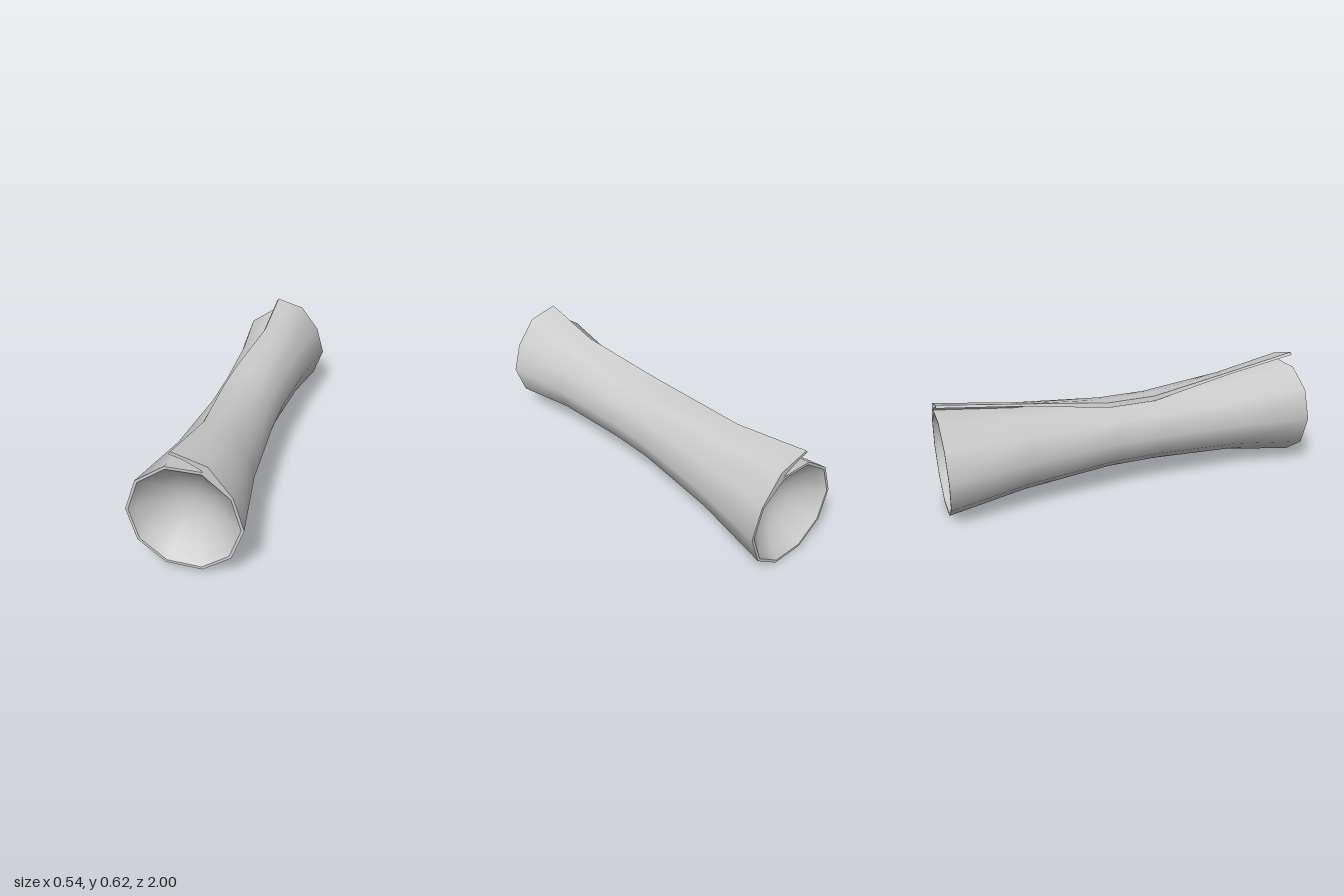
import * as THREE from 'three';
import { toCreasedNormals } from 'three/addons/utils/BufferGeometryUtils.js';

// Ten-sided tube outline, counter-clockwise about its centre; first point lies under the flap
const RING = [
  [0.095, 0.257], [-0.075, 0.258], [-0.212, 0.164], [-0.268, 0.007], [-0.222, -0.153],
  [-0.092, -0.253], [0.078, -0.258], [0.212, -0.165], [0.269, -0.008], [0.223, 0.15],
];
// Overlapping flap: lifted at the ends, pressed against the tube at the waist
const FLAP_END = [[0.117, 0.287], [0.025, 0.315], [-0.042, 0.335], [-0.052, 0.322], [0.013, 0.303], [0.088, 0.264]];
const FLAP_WAIST = [[0.12, 0.257], [0.0, 0.282], [-0.122, 0.301], [-0.132, 0.264], [0.0, 0.263], [0.09, 0.26]];

// Stations along the roll: z, scale, centre x, centre y, closeness of the flap
const STATIONS = [
  [-1, 0.995, 0.003, 0.258, 0],
  [-0.6, 0.79, 0.001, 0.27, 0],
  [-0.13, 0.684, 0, 0.284, 1],
  [0.13, 0.684, 0, 0.284, 1],
  [0.6, 0.776, -0.002, 0.285, 0],
  [1, 1, -0.005, 0.285, 0],
];

function section([z, s, cx, cy, w]) {
  const flap = FLAP_END.map(([x, y], i) => [
    THREE.MathUtils.lerp(x, FLAP_WAIST[i][0], w),
    THREE.MathUtils.lerp(y, FLAP_WAIST[i][1], w),
  ]);
  return [...RING, ...flap].map(([x, y]) => new THREE.Vector3(cx + x * s, cy + y * s, z));
}

// Skin a list of closed loops that share a point count
function loft(loops, crease) {
  const n = loops[0].length;
  const index = [];
  for (let i = 0; i < loops.length - 1; i++) {
    for (let j = 0; j < n; j++) {
      const a = i * n + j, b = i * n + (j + 1) % n;
      index.push(a, b, a + n, b, b + n, a + n);
    }
  }
  const geometry = new THREE.BufferGeometry().setFromPoints(loops.flat());
  geometry.setIndex(index);
  return toCreasedNormals(geometry, crease);
}

// Shrunken tube outline used for the rim opening and the hollow
function innerLoop([z, s, cx, cy], k, depth) {
  return RING.map(([x, y]) => new THREE.Vector3(cx + x * s * k, cy + y * s * k, z - Math.sign(z) * depth));
}

export function createModel() {
  const group = new THREE.Group();
  const material = new THREE.MeshStandardMaterial({ color: 0xcccccc });
  const thinMaterial = new THREE.MeshStandardMaterial({ color: 0xcccccc, side: THREE.DoubleSide });
  const add = (name, geometry, mat) => {
    const mesh = new THREE.Mesh(geometry, mat);
    mesh.name = name;
    group.add(mesh);
  };

  // Rolled sheet with its overlapping edge
  add('rolledSheet', loft(STATIONS.map(section), 0.9), material);

  // Rim and shallow hollow at each end
  for (const [name, station] of [['front', STATIONS[5]], ['back', STATIONS[0]]]) {
    const to2D = (p) => new THREE.Vector2(p.x, p.y);
    const shape = new THREE.Shape(section(station).map(to2D));
    shape.holes.push(new THREE.Path(innerLoop(station, 0.95, 0).map(to2D)));
    const rim = new THREE.ShapeGeometry(shape);
    rim.translate(0, 0, station[0]);
    add(name + 'Rim', rim, thinMaterial);

    const loops = [1, 0.9, 0.75, 0.55, 0.3, 0.001].map((t) => innerLoop(station, 0.95 * t, 0.14 * (1 - t * t)));
    if (station[0] < 0) loops.reverse();
    add(name + 'Hollow', loft(loops, 1.2), material);
  }
  return group;
}
